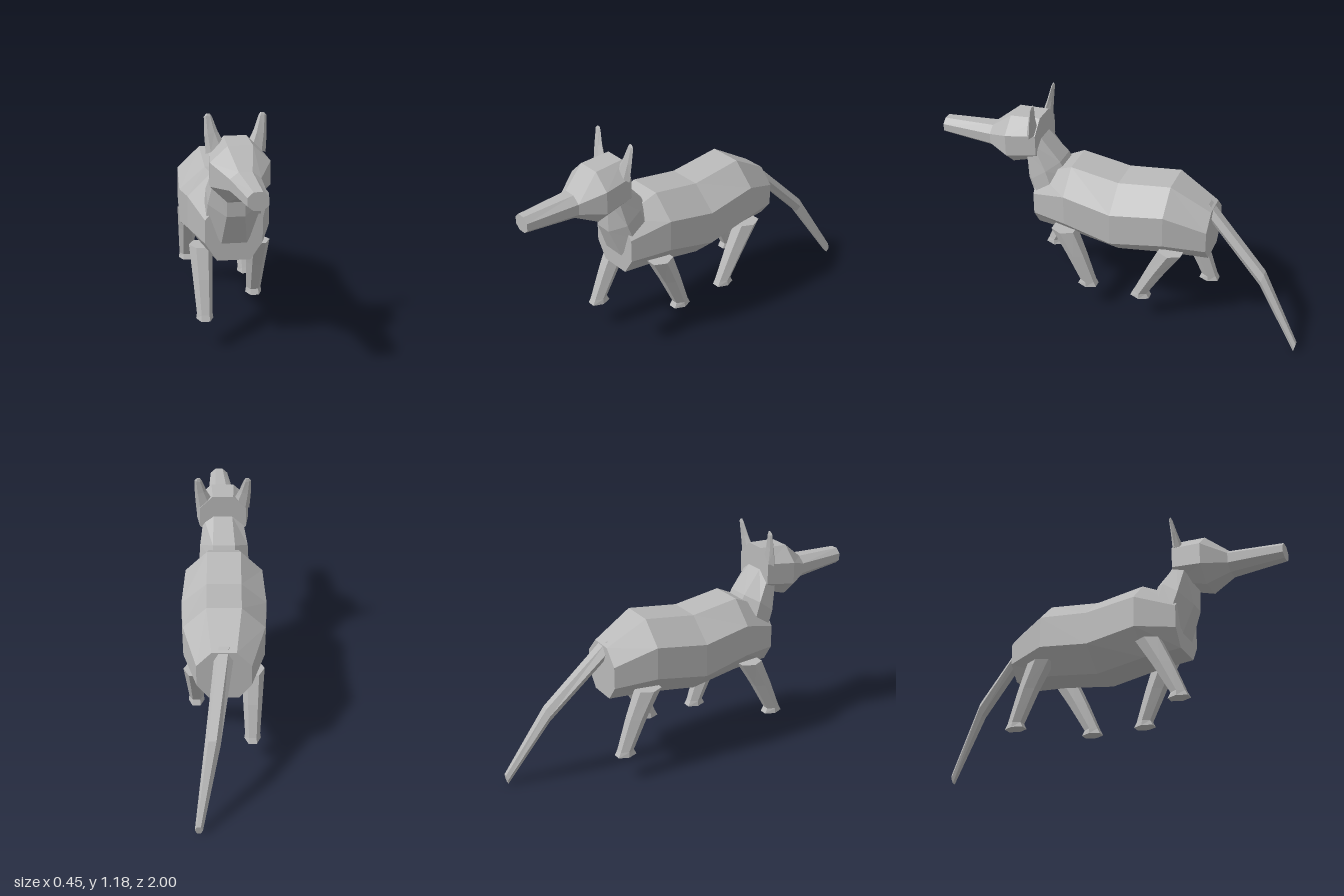
import * as THREE from 'three';

const grey = new THREE.MeshStandardMaterial({ color: 0xb8b8b8, flatShading: true });
grey.name = 'grey';

// Closed loft through rings of equal point count, wound to face outward
function loft(name, rings) {
  const n = rings[0].length, tris = [];
  for (let r = 0; r + 1 < rings.length; r++) {
    for (let i = 0; i < n; i++) {
      const j = (i + 1) % n;
      const a = rings[r][i], b = rings[r][j], c = rings[r + 1][j], d = rings[r + 1][i];
      tris.push([a, b, c], [a, c, d]);
    }
  }
  const first = rings[0], last = rings[rings.length - 1];
  for (let i = 1; i + 1 < n; i++) {
    tris.push([first[0], first[i + 1], first[i]], [last[0], last[i], last[i + 1]]);
  }
  const origin = first[0];
  let volume = 0;
  for (const [a, b, c] of tris) {
    const [u, v, w] = [a, b, c].map(p => p.clone().sub(origin));
    volume += u.dot(v.cross(w));
  }
  if (volume < 0) tris.forEach(t => t.reverse());
  const geometry = new THREE.BufferGeometry().setFromPoints(tris.flat());
  geometry.computeVertexNormals();
  const mesh = new THREE.Mesh(geometry, grey);
  mesh.name = name;
  return mesh;
}

// Eight-sided section: four heights (top to bottom), their depths and half widths
function octagon(cx, ys, zs, ws) {
  const side = s => ys.map((y, i) => new THREE.Vector3(cx + s * ws[i], y, zs[i]));
  return [...side(1), ...side(-1).reverse()];
}
const upright = (cx, z, ys, ws) => octagon(cx, ys, [z, z, z, z], ws);

// Six-sided section lying across two given half axes
function hexagon(centre, u, v) {
  return Array.from({ length: 6 }, (_, i) => {
    const a = i * Math.PI / 3;
    return new THREE.Vector3(...centre)
      .addScaledVector(new THREE.Vector3(...u), Math.cos(a))
      .addScaledVector(new THREE.Vector3(...v), Math.sin(a) / 0.866);
  });
}

export function createModel() {
  const model = new THREE.Group();
  model.name = 'animal';

  // Sway-backed body
  model.add(loft('body', [
    upright(0, 0.46, [0.745, 0.655, 0.535, 0.445], [0.065, 0.142, 0.142, 0.083]),
    upright(0, 0.26, [0.835, 0.72, 0.555, 0.43], [0.09, 0.207, 0.207, 0.09]),
    upright(0, 0, [0.797, 0.68, 0.505, 0.388], [0.09, 0.223, 0.223, 0.095]),
    upright(0, -0.28, [0.835, 0.72, 0.55, 0.43], [0.088, 0.207, 0.207, 0.09]),
    upright(0, -0.49, [0.715, 0.635, 0.52, 0.44], [0.062, 0.137, 0.137, 0.075]),
  ]));

  // Neck leaning forward into the head
  model.add(loft('neck', [
    octagon(0, [0.76, 0.71, 0.655, 0.535], [0.30, 0.36, 0.44, 0.465], [0.06, 0.135, 0.135, 0.063]),
    octagon(0, [0.83, 0.80, 0.74, 0.69], [0.335, 0.39, 0.47, 0.525], [0.06, 0.13, 0.13, 0.045]),
    octagon(0.005, [0.95, 0.93, 0.89, 0.87], [0.44, 0.46, 0.505, 0.53], [0.05, 0.105, 0.105, 0.045]),
  ]));

  // Head and long snout
  model.add(loft('head', [
    upright(0.005, 0.44, [1.07, 1.0, 0.89, 0.835], [0.055, 0.125, 0.125, 0.055]),
    upright(0.008, 0.6, [1.06, 0.983, 0.867, 0.787], [0.06, 0.143, 0.143, 0.06]),
    upright(0.015, 0.72, [0.967, 0.935, 0.88, 0.845], [0.032, 0.073, 0.073, 0.032]),
    upright(0.028, 1, [0.955, 0.93, 0.892, 0.87], [0.021, 0.048, 0.048, 0.021]),
  ]));

  // Thin upright ears
  for (const s of [1, -1]) {
    const cx = 0.006;
    model.add(loft(s > 0 ? 'leftEar' : 'rightEar', [
      hexagon([cx + s * 0.1, 1.015, 0.465], [s * 0.044, -0.025, 0], [0, 0, 0.02]),
      hexagon([cx + s * 0.118, 1.09, 0.455], [s * 0.032, -0.008, 0], [0, 0, 0.012]),
      hexagon([cx + s * 0.13, 1.165, 0.443], [s * 0.02, 0.002, 0], [0, 0.004, 0.006]),
      hexagon([cx + s * 0.129, 1.18, 0.441], [s * 0.009, 0, 0], [0, 0.001, 0.003]),
    ]));
  }

  // Walking legs: side, hip depth, foot depth, ground height
  const legs = [
    ['frontLeftLeg', 1, 0.285, 0.155, 0.15],
    ['frontRightLeg', -1, 0.315, 0.47, 0.15],
    ['rearLeftLeg', 1, -0.31, -0.148, 0.155],
    ['rearRightLeg', -1, -0.305, -0.443, 0.14],
  ];
  for (const [name, s, hip, foot, ground] of legs) {
    const x = s * 0.147;
    const ring = (y, z, w, d) => hexagon([x, y, z], [w, 0, 0], [0, 0, d]);
    model.add(loft(name, [
      ring(0.485, hip, 0.06, 0.062),
      ring(0.34, hip + (foot - hip) * 0.5, 0.05, 0.05),
      ring(ground + 0.028, foot, 0.039, 0.038),
      ring(ground, foot, 0.043, 0.052),
    ]));
  }

  // Drooping tail, swept to one side
  model.add(loft('tail', [
    hexagon([0, 0.683, -0.475], [0.048, 0, 0], [0, 0.052, 0.01]),
    hexagon([0.056, 0.375, -0.78], [0.039, 0, 0], [0, 0.036, -0.008]),
    hexagon([0.122, 0.028, -0.995], [0.02, 0, 0], [0, 0.025, -0.005]),
  ]));

  return model;
}
